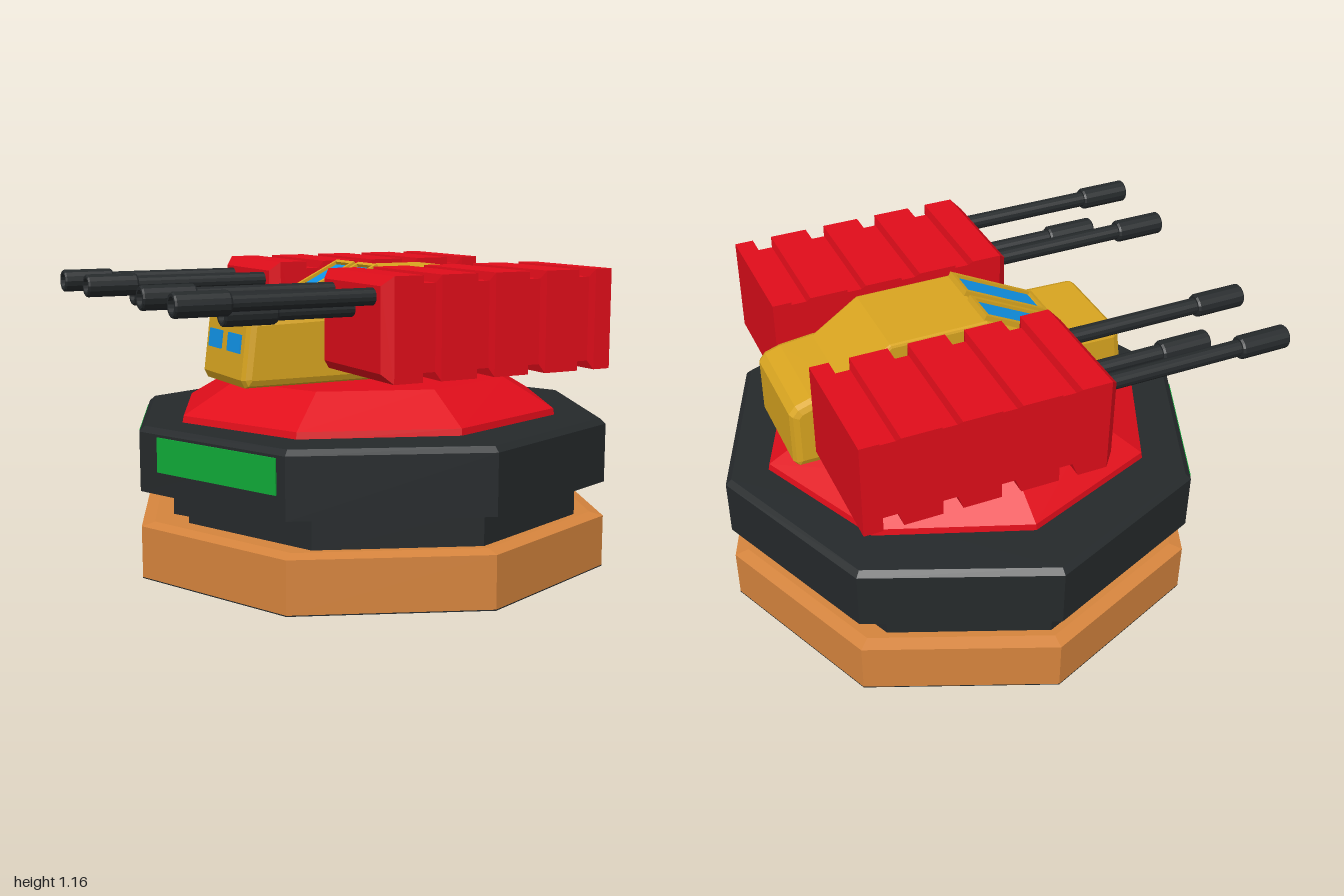
import * as THREE from 'three';

const mat = (color) => new THREE.MeshStandardMaterial({ color, flatShading: true });
const DARK = mat(0x25292b), RED = mat(0xe00d1a), YELLOW = mat(0xd9a520);
const BLUE = mat(0x1093e8), GREEN = mat(0x10aa38), ORANGE = mat(0xd5843d);
const CX = 0.045; // centre of the octagonal platform

function add(parent, name, geometry, material, x = 0, y = 0, z = 0) {
  const mesh = new THREE.Mesh(geometry, material);
  mesh.name = name;
  mesh.position.set(x, y, z);
  parent.add(mesh);
  return mesh;
}

// Joins rings of [x, y, z] points (counter-clockwise about the axis) and caps both ends
function loft(rings) {
  const pos = [];
  const tri = (a, b, c) => pos.push(...a, ...b, ...c);
  const n = rings[0].length;
  for (let k = 0; k < rings.length - 1; k++) {
    for (let i = 0; i < n; i++) {
      const j = (i + 1) % n, lo = rings[k], hi = rings[k + 1];
      tri(lo[i], lo[j], hi[j]);
      tri(lo[i], hi[j], hi[i]);
    }
  }
  const first = rings[0], last = rings[rings.length - 1];
  for (let i = 1; i < n - 1; i++) {
    tri(first[0], first[i + 1], first[i]);
    tri(last[0], last[i], last[i + 1]);
  }
  const g = new THREE.BufferGeometry();
  g.setAttribute('position', new THREE.Float32BufferAttribute(pos, 3));
  g.computeVertexNormals();
  return g;
}

// Stacked octagons: each layer is [y, radius in x, radius in z]
const octagons = (layers) => loft(layers.map(([y, rx, rz = rx]) =>
  Array.from({ length: 8 }, (_, i) => {
    const a = i * Math.PI / 4;
    return [CX + rx * Math.cos(a), y, -rz * Math.sin(a)];
  })));

// Side profile in x, y extruded across z with bevelled edges
function slab(points, width, bevel) {
  const shape = new THREE.Shape(points.map(([x, y]) => new THREE.Vector2(x, y)));
  const g = new THREE.ExtrudeGeometry(shape, {
    depth: width - 2 * bevel, bevelSize: bevel, bevelThickness: bevel, bevelOffset: -bevel, bevelSegments: 2,
  });
  return g.translate(0, 0, bevel - width / 2);
}

function rect(x0, x1, y0, y1, Kind = THREE.Shape) {
  return new Kind([[x0, y0], [x1, y0], [x1, y1], [x0, y1]].map(([x, y]) => new THREE.Vector2(x, y)));
}

function buildPlatform() {
  const g = new THREE.Group();
  g.name = 'platform';
  add(g, 'underside', octagons([[0, 0.953], [0.004, 0.953]]), DARK);
  add(g, 'base', octagons([[0.004, 0.953], [0.2, 0.953], [0.212, 0.9]]), ORANGE);

  // Recessed neck, notched at both x ends
  const quarter = [[0.755, 0], [0.795, 0.08], [0.56, 0.64]];
  const side = [...quarter, [0, 0.87], ...quarter.slice(1).reverse().map(([x, z]) => [-x, z])];
  const outline = [...side, [-0.755, 0], ...side.slice(1).reverse().map(([x, z]) => [x, -z])];
  add(g, 'neck', loft([0.2, 0.345].map((y) => outline.map(([x, z]) => [CX + x, y, -z]))), DARK);

  add(g, 'turntable', octagons([[0.335, 0.953], [0.56, 0.953], [0.58, 0.93]]), DARK);
  add(g, 'dome', octagons([[0.57, 0.785, 0.72], [0.605, 0.778, 0.715], [0.72, 0.575, 0.525]]), RED);

  // Light panels on the two faces under the muzzles
  for (const s of [1, -1]) {
    const t = 0.54;
    const panel = add(g, 'lightPanel', new THREE.BoxGeometry(0.012, 0.13, 0.59), GREEN,
      -0.908 + 0.28 * t, 0.485, s * 0.674 * t);
    panel.rotation.y = s * 0.393;
  }
  return g;
}

function buildCabin() {
  const g = new THREE.Group();
  g.name = 'cabin';
  add(g, 'cabinBody', slab([[-0.575, 0.75], [-0.56, 0.72], [0.76, 0.72], [0.775, 0.74], [0.775, 0.95],
    [0.75, 0.98], [0.69, 1.0], [0.56, 1.015], [-0.33, 0.985], [-0.53, 0.98], [-0.548, 0.965]], 0.42, 0.03), YELLOW);
  add(g, 'cabinRoof', slab([[-0.36, 0.955], [0.57, 0.955], [0.57, 1.01], [0.38, 1.14], [0, 1.14]], 0.37, 0.012), YELLOW);

  // Framed windows on the sloping windscreen, and small ones in the nose
  const frame = rect(-0.195, 0.195, -0.077, 0.077);
  frame.holes.push(rect(-0.178, 0.178, -0.06, 0.06, THREE.Path));
  const frameGeo = new THREE.ExtrudeGeometry(frame, { depth: 0.022, bevelEnabled: false }).rotateX(-Math.PI / 2);
  for (const s of [1, -1]) {
    const win = new THREE.Group();
    win.name = 'windscreen';
    win.position.set(-0.165, 1.054, s * 0.092);
    win.rotation.z = 0.464;
    add(win, 'windowFrame', frameGeo, YELLOW);
    add(win, 'windowGlass', new THREE.BoxGeometry(0.36, 0.012, 0.124), BLUE, 0, 0.004, 0);
    g.add(win);
    const nose = add(g, 'noseWindow', new THREE.BoxGeometry(0.01, 0.07, 0.12), BLUE, -0.56, 0.88, s * 0.09);
    nose.rotation.z = -0.12;
  }
  return g;
}

// Ribbed gun housing: rectangular sections along x, sunk at each groove
function podGeometry() {
  const stations = [[-0.265, 0.035], [-0.23, 0]];
  for (const x of [-0.115, 0.108, 0.328, 0.548]) {
    stations.push([x, 0], [x + 0.008, 0.03], [x + 0.067, 0.03], [x + 0.075, 0]);
  }
  stations.push([0.695, 0]);
  return loft(stations.map(([x, d]) => {
    const h = 0.187 - d, w = 0.25 - d;
    return [[x, -h, -w], [x, h, -w], [x, h, w], [x, -h, w]];
  }));
}

// Barrel along -x with a wider, hollow muzzle
function barrelGeometry(length) {
  const m = length - 0.2;
  const profile = [[0, 0], [0.031, 0], [0.031, m], [0.039, m], [0.044, m + 0.008], [0.044, length - 0.006],
    [0.039, length], [0.029, length], [0.029, length - 0.04], [0, length - 0.04]];
  return new THREE.LatheGeometry(profile.map(([r, y]) => new THREE.Vector2(r, y)), 14).rotateZ(Math.PI / 2);
}

function buildGuns(s) {
  const g = new THREE.Group();
  g.name = s > 0 ? 'frontGuns' : 'backGuns';
  add(g, 'gunHousing', podGeometry(), RED, 0, 0.967, s * 0.462);
  for (const z of [0.31, 0.618]) add(g, 'longBarrel', barrelGeometry(0.8), DARK, -0.2, 1.08, s * z);
  add(g, 'shortBarrel', barrelGeometry(0.565), DARK, -0.2, 1.027, s * 0.464);
  return g;
}

export function createModel() {
  const model = new THREE.Group();
  model.name = 'gunTurret';
  model.add(buildPlatform(), buildCabin(), buildGuns(1), buildGuns(-1));
  return model;
}
